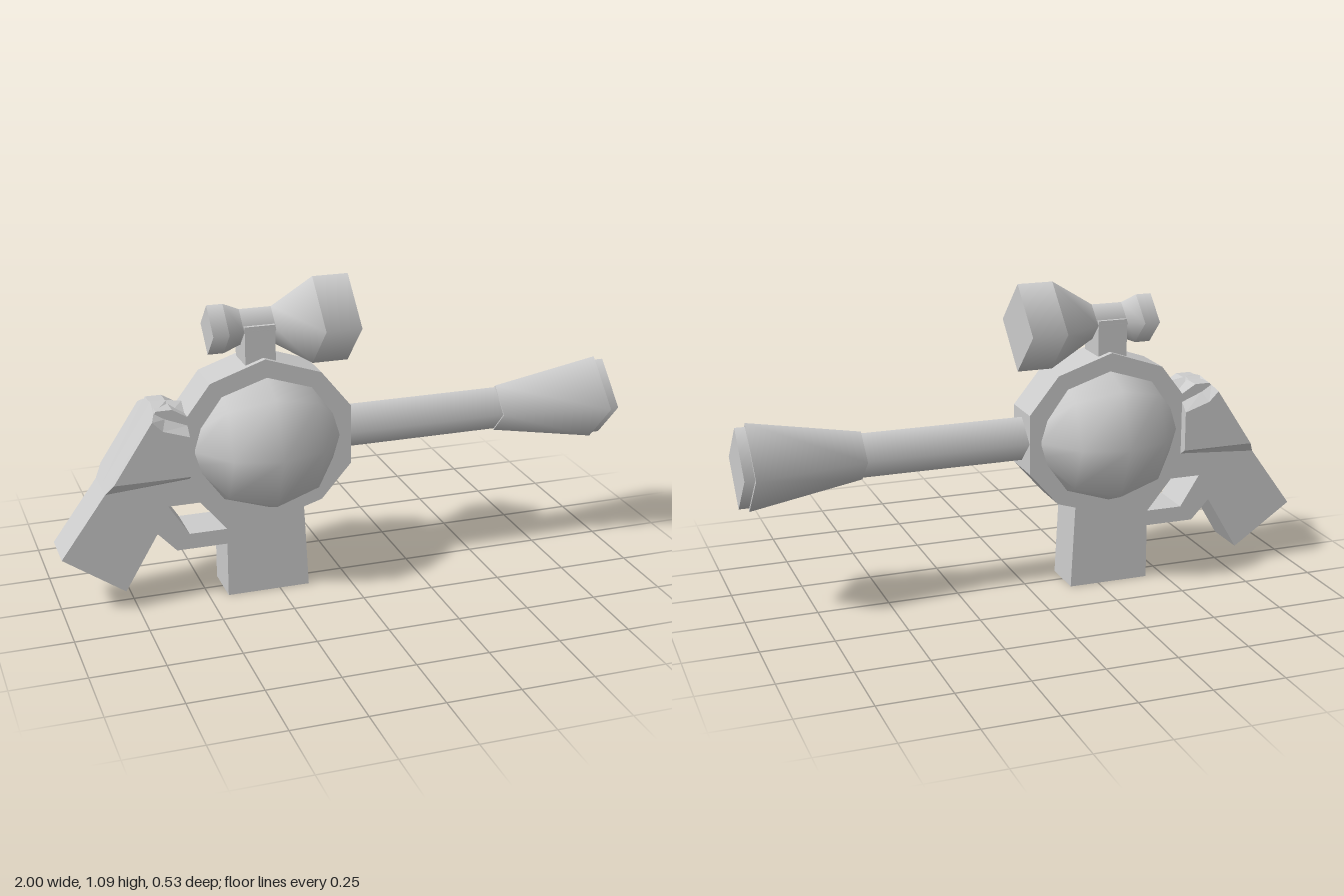
import * as THREE from 'three';

const AXIS_Y = 0.543;   // barrel and orb height
const SCOPE_Y = 0.935;

export function createModel() {
  const model = new THREE.Group();
  const grey = new THREE.MeshStandardMaterial({ color: 0xcccccc });
  grey.name = 'grey';

  function add(name, geometry, x = 0, y = 0, z = 0) {
    const mesh = new THREE.Mesh(geometry, grey);
    mesh.name = name;
    mesh.position.set(x, y, z);
    model.add(mesh);
    return mesh;
  }

  // Four-sided tube section along x, corners up, down and sideways
  function section(name, y, x0, r0, x1, r1) {
    const g = new THREE.CylinderGeometry(r1, r0, x1 - x0, 4);
    g.rotateZ(-Math.PI / 2);
    return add(name, g, (x0 + x1) / 2, y);
  }

  // Frame: round housing, magazine, trigger guard and grip in one slab
  const toPoints = (list) => list.map(([x, y]) => new THREE.Vector2(x, y));
  const outline = new THREE.Shape(toPoints([
    [-0.29, 0.84], [-0.48, 0.775], [-0.56, 0.67], [-0.61, 0.70], [-0.665, 0.70],
    [-0.83, 0.45], [-1, 0.215], [-0.79, 0.07], [-0.675, 0.265], [-0.61, 0.195],
    [-0.435, 0.195], [-0.435, 0], [-0.145, 0], [-0.16, 0.295], [-0.095, 0.315],
    [0.01, 0.435], [0.01, 0.645], [-0.095, 0.775],
  ]));
  outline.holes.push(new THREE.Path(toPoints([
    [-0.635, 0.36], [-0.525, 0.36], [-0.435, 0.25], [-0.565, 0.25],
  ])));
  const frame = new THREE.ExtrudeGeometry(outline, { depth: 0.16, bevelEnabled: false });
  add('frame', frame, 0, 0, -0.08);

  // Orb: eight-sided, faceted along x, bulging through both sides of the frame
  const orbProfile = [-72, -36, 0, 36, 72].map((deg) => {
    const a = THREE.MathUtils.degToRad(deg);
    return new THREE.Vector2(0.266 * Math.cos(a), 0.266 * Math.sin(a));
  });
  const orb = new THREE.LatheGeometry(orbProfile, 8);
  orb.rotateZ(-Math.PI / 2);
  add('orb', orb, -0.285, AXIS_Y);

  // Rear housing: matching outlines at several depths, ridged along the middle
  const outer = [[-0.82, 0.47], [-0.56, 0.47], [-0.56, 0.61], [-0.65, 0.64], [-0.685, 0.675]];
  const inner = [[-0.845, 0.43], [-0.56, 0.45], [-0.56, 0.64], [-0.635, 0.67], [-0.672, 0.693]];
  const ridge = [[-0.845, 0.43], [-0.56, 0.45], [-0.56, 0.70], [-0.61, 0.708], [-0.665, 0.708]];
  const layers = [[-0.113, outer], [-0.08, inner], [0, ridge], [0.08, inner], [0.113, outer]];
  const n = outer.length;
  const positions = [];
  const corner = (l, i) => {
    const [z, points] = layers[l];
    positions.push(points[i % n][0], points[i % n][1], z);
  };
  for (let l = 0; l < layers.length - 1; l++) {
    for (let i = 0; i < n; i++) {
      corner(l, i); corner(l, i + 1); corner(l + 1, i + 1);
      corner(l, i); corner(l + 1, i + 1); corner(l + 1, i);
    }
  }
  const last = layers.length - 1;
  for (let i = 1; i < n - 1; i++) {
    corner(last, 0); corner(last, i); corner(last, i + 1);
    corner(0, 0); corner(0, i + 1); corner(0, i);
  }
  const housing = new THREE.BufferGeometry();
  housing.setAttribute('position', new THREE.Float32BufferAttribute(positions, 3));
  housing.computeVertexNormals();
  add('rearHousing', housing);

  // Barrel and flared muzzle
  section('barrel', AXIS_Y, -0.02, 0.078, 0.59, 0.078);
  section('muzzleFlare', AXIS_Y, 0.58, 0.084, 0.965, 0.153);
  section('muzzleTip', AXIS_Y, 0.96, 0.14, 1, 0.14);

  // Scope on its mount
  section('scopeEyepiece', SCOPE_Y, -0.465, 0.085, -0.41, 0.085);
  section('scopeRearCone', SCOPE_Y, -0.41, 0.085, -0.355, 0.062);
  section('scopeTube', SCOPE_Y, -0.355, 0.062, -0.245, 0.062);
  section('scopeFrontCone', SCOPE_Y, -0.245, 0.062, -0.10, 0.152);
  section('scopeLens', SCOPE_Y, -0.10, 0.152, 0.025, 0.152);
  add('scopeMount', new THREE.BoxGeometry(0.105, 0.16, 0.12), -0.3, 0.87);

  return model;
}
